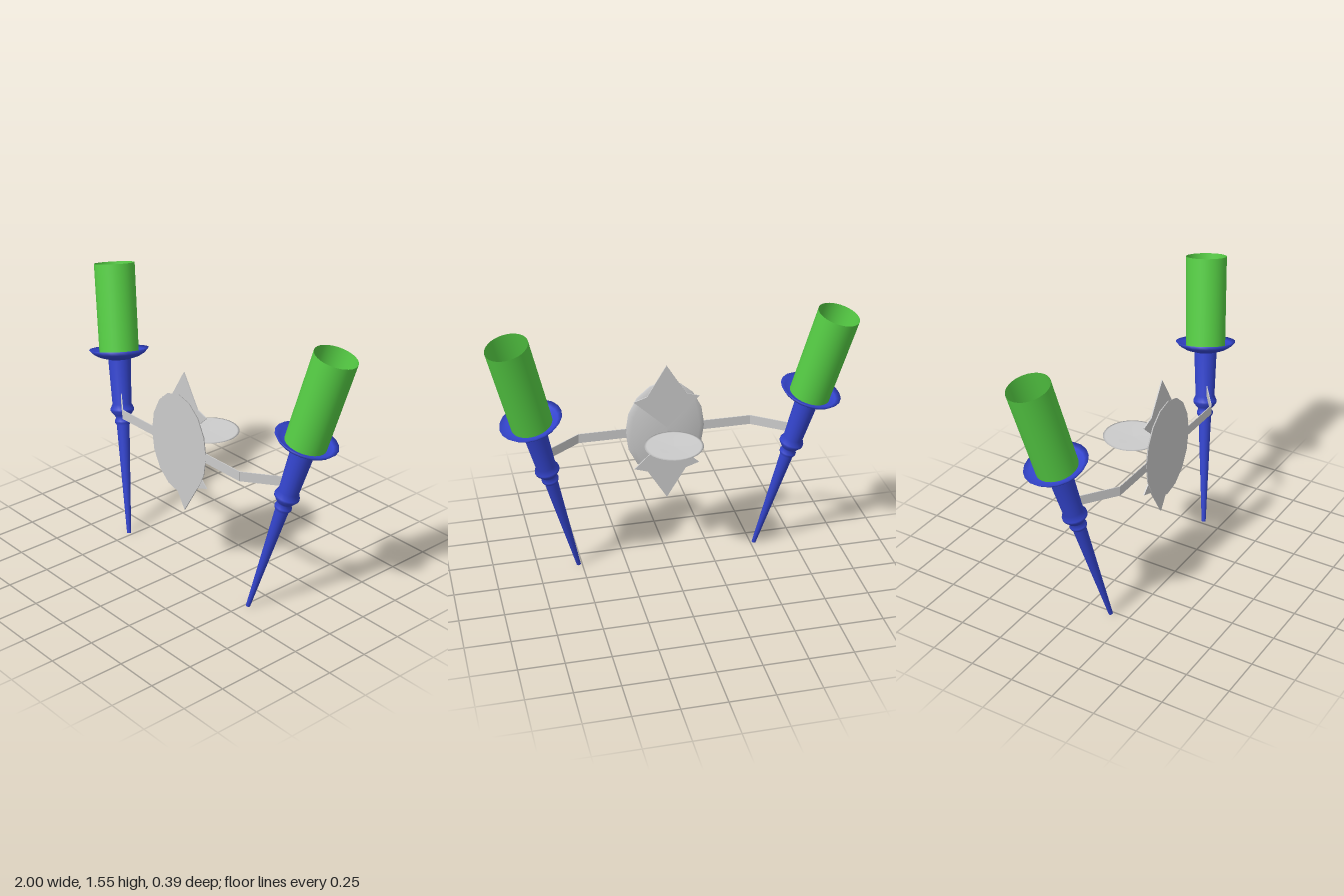
import * as THREE from 'three';

const V2 = (pts) => pts.map(([x, y]) => new THREE.Vector2(x, y));
const lathe = (pts, sides) => new THREE.LatheGeometry(V2(pts), sides);

export function createModel() {
  const model = new THREE.Group();
  model.name = 'wallSconce';

  const grey = new THREE.MeshStandardMaterial({ color: 0xcccccc, side: THREE.DoubleSide });
  const blue = new THREE.MeshStandardMaterial({ color: 0x3344cc, side: THREE.DoubleSide });
  const green = new THREE.MeshStandardMaterial({ color: 0x55cc44, side: THREE.DoubleSide });

  const add = (parent, name, geometry, material) => {
    const mesh = new THREE.Mesh(geometry, material);
    mesh.name = name;
    parent.add(mesh);
    return mesh;
  };

  // Oval wall plate: flat front, shallow dome behind
  const rim = [[0.225, 0], [0.222, 0.008], [0.195, 0.02], [0.12, 0.035], [0.05, 0.04], [0, 0.041]];
  const plate = new THREE.Group();
  plate.name = 'plate';
  add(plate, 'plateDome', lathe(rim, 16).rotateX(-Math.PI / 2), grey);
  add(plate, 'plateFace', new THREE.CircleGeometry(0.225, 16), grey);
  plate.scale.y = 1.31;
  plate.position.set(0, 0.8, 0.194);
  model.add(plate);

  // Pointed leaf ornaments above and below the plate centre
  for (const s of [1, -1]) {
    const half = [[0.11, 0.235], [0.185, 0.21]];
    const outline = [[0, 0.415], ...half, [0, 0.035], ...half.map(([x, y]) => [-x, y]).reverse()];
    const shape = new THREE.Shape(V2(outline.map(([x, y]) => [x, y * s])));
    const leaf = new THREE.ExtrudeGeometry(shape, { depth: 0.007, bevelEnabled: false });
    add(model, s > 0 ? 'upperLeaf' : 'lowerLeaf', leaf, grey).position.set(0, 0.795, 0.147);
  }

  // Shallow horizontal dish with its bracket
  const dish = [[0, -0.012], [0.09, -0.008], [0.15, 0], [0.163, 0.007], [0.15, 0.008], [0.08, 0.005], [0, 0.003]];
  add(model, 'dish', lathe(dish, 32), grey).position.set(0, 0.803, -0.031);
  add(model, 'dishBracket', new THREE.BoxGeometry(0.05, 0.012, 0.19), grey).position.set(0, 0.79, 0.062);

  // Torch profiles, measured along the torch axis from the tip
  const length = 1.58;
  const handle = [
    [0, 0], [0.012, 0], [0.037, 0.645], [0.047, 0.662], [0.047, 0.672], [0.037, 0.69],
    [0.05, 0.705], [0.068, 0.73], [0.068, 0.742], [0.055, 0.77], [0.065, 1.035],
  ];
  const cup = [[0.065, 1.03], [0.115, 1.045], [0.15, 1.065], [0.172, 1.09], [0.145, 1.077], [0.11, 1.065], [0, 1.06]];
  const bulb = [[0.03, 1.06], [0.03, 1.24], [0.05, 1.29], [0.07, 1.34], [0.074, 1.39], [0.06, 1.44], [0.035, 1.465], [0, 1.475]];

  for (const side of [1, -1]) {
    const name = side > 0 ? 'left' : 'right';

    // Flat strip arm: straight along the wall, then bent back to the torch
    const path = [[0, 0.19], [0.49, 0.19], [0.7, 0.04]];
    for (let i = 0; i < 2; i++) {
      const [[x0, z0], [x1, z1]] = [path[i], path[i + 1]];
      const strip = new THREE.BoxGeometry(Math.hypot(x1 - x0, z1 - z0), 0.055, 0.005);
      const arm = add(model, `${name}Arm${i ? 'End' : ''}`, strip, grey);
      arm.position.set((side * (x0 + x1)) / 2, 0.797, (z0 + z1) / 2);
      arm.rotation.y = -side * Math.atan2(z1 - z0, x1 - x0);
    }

    // Tilted torch
    const torch = new THREE.Group();
    torch.name = `${name}Torch`;
    add(torch, 'handle', lathe(handle, 20), blue);
    add(torch, 'cup', lathe(cup, 20), blue);
    const shade = new THREE.CylinderGeometry(0.116, 0.113, length - 1.065, 32, 1, true);
    add(torch, 'shade', shade, green).position.y = (length + 1.065) / 2;
    add(torch, 'bulb', lathe(bulb, 20), grey);
    const axis = new THREE.Vector3(side * 0.368, 1.52, -0.225).normalize();
    torch.quaternion.setFromUnitVectors(new THREE.Vector3(0, 1, 0), axis);
    torch.position.set(side * 0.52, 0.003, 0.145);
    model.add(torch);
  }

  return model;
}
